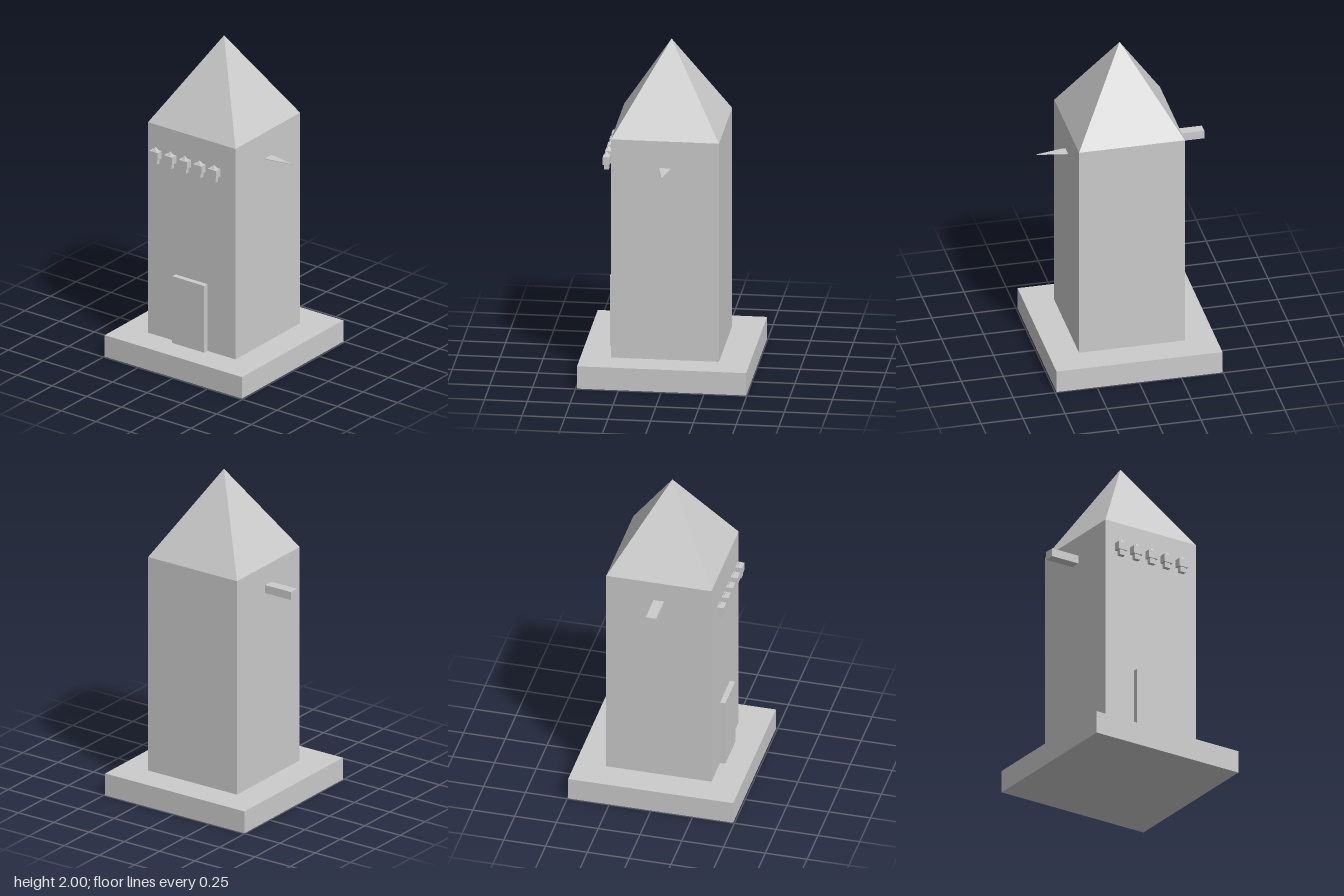
import * as THREE from 'three';

const material = new THREE.MeshStandardMaterial({ color: 0xcccccc, flatShading: true });

function add(parent, name, geometry, x, y, z) {
  const mesh = new THREE.Mesh(geometry, material);
  mesh.name = name;
  mesh.position.set(x, y, z);
  parent.add(mesh);
  return mesh;
}

// Box placed by the centre of its underside
function block(parent, name, w, h, d, x, y, z) {
  return add(parent, name, new THREE.BoxGeometry(w, h, d), x, y + h / 2, z);
}

// Square pyramid placed by the centre of its underside
function pyramid(parent, name, width, height, x, y, z) {
  const geometry = new THREE.ConeGeometry(width / Math.SQRT2, height, 4);
  geometry.rotateY(Math.PI / 4);
  return add(parent, name, geometry, x, y + height / 2, z);
}

export function createModel() {
  const model = new THREE.Group();
  model.name = 'tower';

  // Plinth, shaft and pointed roof
  block(model, 'plinth', 0.988, 0.137, 0.988, -0.002, 0, -0.002);
  block(model, 'shaft', 0.63, 1.34, 0.63, 0, 0.137, 0);
  pyramid(model, 'roof', 0.63, 0.523, 0, 1.477, 0);

  // Door slab on the front
  block(model, 'door', 0.23, 0.425, 0.05, -0.002, 0.137, 0.322);

  // Row of small figures in front of the upper wall
  for (let i = 0; i < 5; i++) {
    const figure = new THREE.Group();
    figure.name = 'figure' + (i + 1);
    figure.position.set(-0.232 + i * 0.1055, 1.252, 0.355);
    block(figure, 'legs', 0.038, 0.032, 0.026, 0, 0, 0);
    block(figure, 'body', 0.06, 0.048, 0.04, 0, 0.032, 0);
    pyramid(figure, 'head', 0.03, 0.026, 0, 0.08, 0);
    model.add(figure);
  }

  // Square beam sticking out on the right
  block(model, 'beam', 0.197, 0.05, 0.062, -0.3985, 1.306, 0);

  // Thin pointed blade sticking out on the left
  const outline = new THREE.Shape([
    [0.3, -0.031], [0.337, -0.031], [0.494, 0], [0.337, 0.031], [0.3, 0.031],
  ].map(([x, y]) => new THREE.Vector2(x, y)));
  const blade = new THREE.ExtrudeGeometry(outline, { depth: 0.004, bevelEnabled: false });
  blade.rotateX(-Math.PI / 2);
  add(model, 'blade', blade, 0, 1.309, -0.001);

  return model;
}
